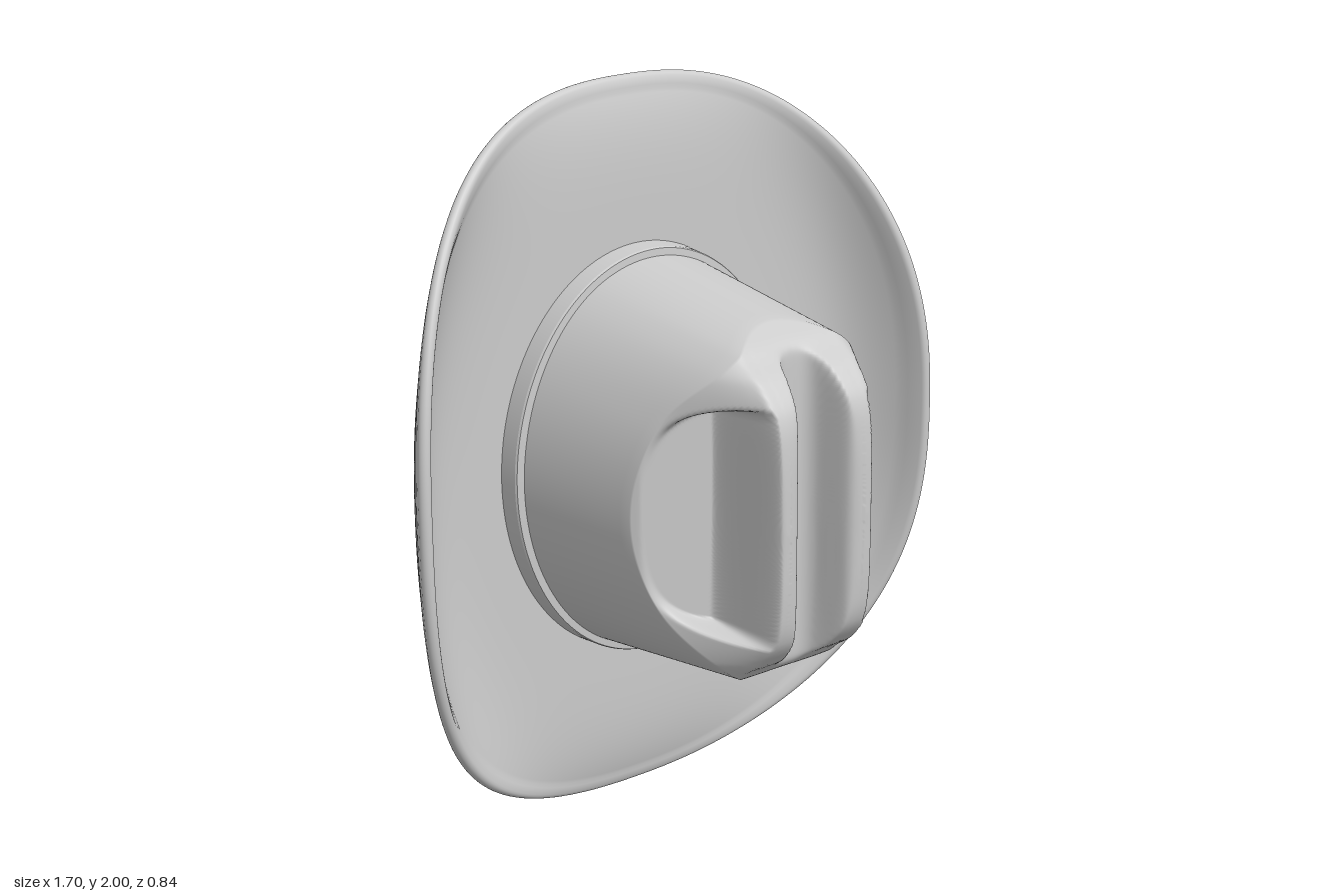
import * as THREE from 'three';

const SEGS = 240;
const lerp = THREE.MathUtils.lerp;
const smooth = THREE.MathUtils.smoothstep;

// Smooth interpolation through [position, value] pairs
function curve(points) {
  const slope = (i) => {
    const a = points[Math.max(i - 1, 0)], b = points[Math.min(i + 1, points.length - 1)];
    return (b[1] - a[1]) / (b[0] - a[0]);
  };
  return (p) => {
    if (p <= points[0][0]) return points[0][1];
    for (let i = 0; i < points.length - 1; i++) {
      const [x0, y0] = points[i], [x1, y1] = points[i + 1];
      if (p > x1) continue;
      const w = x1 - x0, t = (p - x0) / w, t2 = t * t, t3 = t2 * t;
      return y0 * (2 * t3 - 3 * t2 + 1) + y1 * (3 * t2 - 2 * t3)
        + w * (slope(i) * (t3 - 2 * t2 + t) + slope(i + 1) * (t3 - t2));
    }
    return points[points.length - 1][1];
  };
}

// Skin a list of closed rings; at(ring, angle) returns [x, y, z]
function loft(rings, at) {
  const pos = [], index = [];
  rings.forEach((ring, i) => {
    for (let j = 0; j < SEGS; j++) {
      pos.push(...at(ring, (j / SEGS) * Math.PI * 2));
      if (i === rings.length - 1) continue;
      const k = (j + 1) % SEGS, a = i * SEGS, b = a + SEGS;
      index.push(a + j, a + k, b + k, a + j, b + k, b + j);
    }
  });
  const geo = new THREE.BufferGeometry();
  geo.setAttribute('position', new THREE.Float32BufferAttribute(pos, 3));
  geo.setIndex(index);
  geo.computeVertexNormals();
  return geo;
}

const steps = (n, from = 0, to = 1) => Array.from({ length: n + 1 }, (_, i) => lerp(from, to, i / n));

// Crown top: long and cross profiles, pinched by side dents and a centre crease
const longProfile = curve([[0, 0.415], [0.2, 0.408], [0.3, 0.388], [0.37, 0.335], [0.41, 0.28], [0.44, 0.245], [0.475, 0.18]]);
const crossProfile = curve([[0, 0.415], [0.13, 0.415], [0.155, 0.402], [0.172, 0.36], [0.2, 0.305], [0.25, 0.22], [0.3, 0.147], [0.34, 0.112], [0.37, 0.08]]);
const creaseProfile = curve([[0, 0.268], [0.035, 0.275], [0.058, 0.3], [0.07, 0.345], [0.082, 0.39], [0.105, 0.415], [0.13, 0.43]]);

function crownHeight(x, y) {
  const ax = Math.abs(x), ay = Math.abs(y);
  let z = 0.415 - Math.hypot(0.415 - longProfile(ay), 0.415 - crossProfile(ax));
  // Side dent
  const q = Math.pow(ay / 0.315, 3) + Math.pow(Math.max(ax - 0.16, 0) / 0.21, 2);
  const mask = smooth(1 - q, 0, 0.3) * smooth(ax, 0.148, 0.178);
  const floor = 0.095 + Math.max(0.365 - ax, 0) * 0.45;
  z = lerp(z, Math.min(z, floor), mask);
  // Centre crease
  if (ax < 0.12) {
    const c = creaseProfile(ax), k = 0.012;
    z = (z + c - Math.sqrt((z - c) ** 2 + k * k)) / 2 + k * 0.1;
  }
  return z;
}

function crownGeometry() {
  const A = 0.368, B = 0.476;
  const rings = [
    ...steps(14).map((s) => ({ side: s })),
    ...steps(90, 0.99, 0).map((r) => ({ cap: r })),
  ];
  return loft(rings, ({ side, cap }, t) => {
    const c = Math.cos(t), s = Math.sin(t);
    if (cap !== undefined) {
      const x = c * A * cap, y = s * B * cap;
      return [x, y, crownHeight(x, y)];
    }
    const z = lerp(-0.37, crownHeight(c * A, s * B), side);
    return [c * lerp(0.437, A, side), s * lerp(0.55, B, side), z];
  });
}

// Brim: squarish oval sheet whose sides curl up toward the crown
function brimGeometry() {
  const ellipse = (c, s, a, b) => 1 / Math.hypot(c / a, s / b);
  const rings = [
    ...steps(4, -Math.PI / 2, 0).map((a) => ({ t: 0, turn: a })),
    ...steps(44).map((t) => ({ t, face: -1 })),
    ...steps(8, -1.2, 1.2).map((a) => ({ t: 1, rim: a })),
    ...steps(44, 1, 0).map((t) => ({ t, face: 1 })),
  ];
  return loft(rings, (g, angle) => {
    const c = Math.cos(angle), s = Math.sin(angle);
    const inner = ellipse(c, s, 0.452, 0.565);
    const n = 2.4;
    const outer = Math.pow(Math.pow(Math.abs(c) / 0.832, n) + Math.pow(Math.abs(s) / 0.985, n), -1 / n);
    const rimZ = -0.405 + 0.278 * Math.pow(Math.abs(c * outer) / 0.832, 2.6);
    const height = (t) => -0.365 + (rimZ + 0.365) * Math.pow(t, 4);
    if (g.turn !== undefined) {
      // Rounded inner lip rolling into the crown opening
      const r = ellipse(c, s, 0.434, 0.547), f = -g.turn / (Math.PI / 2);
      const rr = lerp(inner, r, Math.sin(f * Math.PI / 2));
      return [c * rr, s * rr, -0.379 + 0.035 * (1 - Math.cos(f * Math.PI / 2))];
    }
    const r = lerp(inner, outer, g.t);
    const slope = 4 * (rimZ + 0.365) * Math.pow(g.t, 3) / (outer - inner);
    const len = Math.hypot(1, slope);
    const h = lerp(0.013, 0.017, smooth(g.t, 0.93, 0.97));
    const up = g.rim !== undefined ? h * Math.sin(g.rim) : h * g.face;
    const out = g.rim !== undefined ? h * Math.cos(g.rim) : 0;
    const rr = r + (out - slope * up) / len;
    return [c * rr, s * rr, height(g.t) + (slope * out + up) / len];
  });
}

// Hat band: thin sleeve with a softly bevelled top edge
function bandGeometry() {
  const rings = [[0.453, 0.567, -0.36], [0.449, 0.562, -0.297], [0.449, 0.562, -0.297],
    [0.446, 0.559, -0.291], [0.446, 0.559, -0.291], [0.425, 0.535, -0.289]];
  return loft(rings, ([a, b, z], t) => [a * Math.cos(t), b * Math.sin(t), z]);
}

export function createModel() {
  const hat = new THREE.Group();
  hat.name = 'hat';
  const material = new THREE.MeshStandardMaterial({ color: 0xcccccc, side: THREE.DoubleSide });
  const parts = { crown: crownGeometry(), brim: brimGeometry(), band: bandGeometry() };
  for (const [name, geometry] of Object.entries(parts)) {
    const mesh = new THREE.Mesh(geometry, material);
    mesh.name = name;
    mesh.position.y = 1;
    hat.add(mesh);
  }
  return hat;
}
